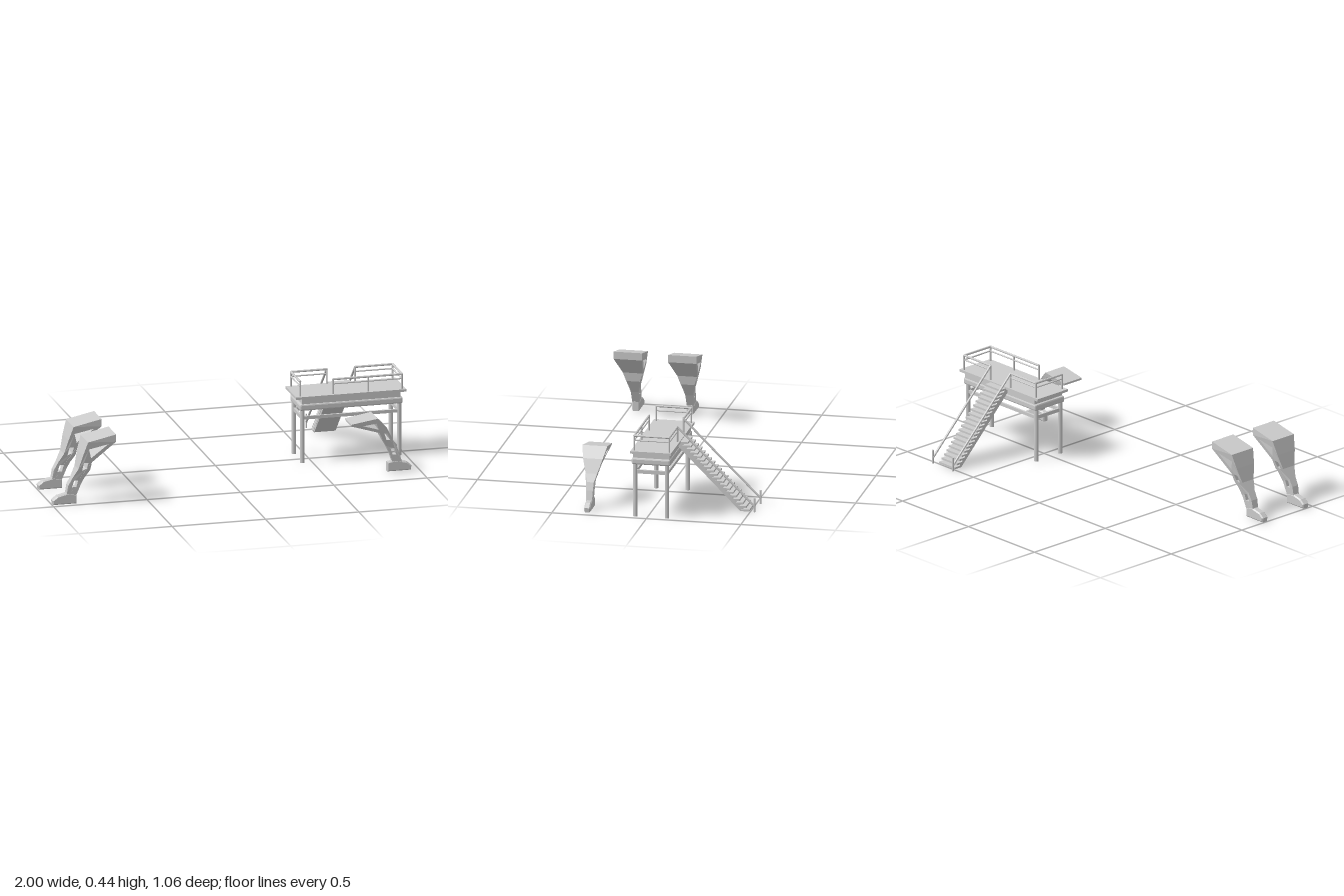
import * as THREE from 'three';
import { RoundedBoxGeometry } from 'three/addons/geometries/RoundedBoxGeometry.js';

const material = new THREE.MeshStandardMaterial({ color: 0xcccccc, flatShading: true });
const V = (x, y, z) => new THREE.Vector3(x, y, z);

function add(parent, name, geometry) {
  const mesh = new THREE.Mesh(geometry, material);
  mesh.name = name;
  parent.add(mesh);
  return mesh;
}

// Box given by its min and max on each axis
function box(parent, name, [x0, x1], [y0, y1], [z0, z1]) {
  const g = new THREE.BoxGeometry(x1 - x0, y1 - y0, z1 - z0);
  g.translate((x0 + x1) / 2, (y0 + y1) / 2, (z0 + z1) / 2);
  return add(parent, name, g);
}

// Round bar between two points
function bar(parent, name, a, b, r, sides = 8) {
  const mesh = add(parent, name, new THREE.CylinderGeometry(r, r, a.distanceTo(b), sides));
  mesh.position.copy(a).lerp(b, 0.5);
  mesh.quaternion.setFromUnitVectors(V(0, 1, 0), b.clone().sub(a).normalize());
  return mesh;
}

// Side profile with holes, extruded in z, its width set by height
function taperedExtrude(outline, holes, widths) {
  const toPoints = (list) => list.map(([x, y]) => new THREE.Vector2(x, y));
  const shape = new THREE.Shape(toPoints(outline));
  for (const h of holes) shape.holes.push(new THREE.Path(toPoints(h)));
  const g = new THREE.ExtrudeGeometry(shape, { depth: 1, bevelEnabled: false });
  const p = g.attributes.position;
  const widthAt = (y) => {
    for (let i = 0; i < widths.length - 1; i++) {
      const [y0, w0] = widths[i], [y1, w1] = widths[i + 1];
      if (y <= y1) return w0 + (w1 - w0) * Math.max(0, (y - y0) / (y1 - y0));
    }
    return widths[widths.length - 1][1];
  };
  for (let i = 0; i < p.count; i++) p.setZ(i, (p.getZ(i) - 0.5) * widthAt(p.getY(i)));
  g.computeVertexNormals();
  return g;
}

// Foot with its toe towards -x
function foot(width) {
  const shape = new THREE.Shape([
    [-0.99, 0.006], [-0.875, 0.006], [-0.875, 0.045], [-0.915, 0.053],
    [-0.97, 0.04], [-0.992, 0.022],
  ].map(([x, y]) => new THREE.Vector2(x, y)));
  const b = 0.006;
  const g = new THREE.ExtrudeGeometry(shape, {
    depth: width - 2 * b, bevelEnabled: true, bevelSize: b, bevelThickness: b, bevelSegments: 1,
  });
  g.translate(0, 0, b - width / 2);
  return g;
}

// Pair of tall struts
function tallStrut(z) {
  const group = new THREE.Group();
  group.name = 'tallStrut';
  const outline = [
    [-0.925, 0.045], [-0.872, 0.045], [-0.845, 0.11], [-0.828, 0.14], [-0.803, 0.18],
    [-0.797, 0.227], [-0.674, 0.335], [-0.674, 0.374], [-0.824, 0.342],
    [-0.847, 0.267], [-0.866, 0.19], [-0.893, 0.14], [-0.915, 0.1],
  ];
  const holes = [
    [[-0.817, 0.302], [-0.715, 0.324], [-0.803, 0.25]],
    [[-0.84, 0.225], [-0.815, 0.225], [-0.822, 0.19], [-0.846, 0.18]],
    [[-0.884, 0.125], [-0.862, 0.125], [-0.872, 0.09], [-0.896, 0.09]],
  ];
  const widths = [[0.06, 0.036], [0.14, 0.045], [0.227, 0.105], [0.335, 0.15]];
  add(group, 'strutBody', taperedExtrude(outline, holes, widths));
  add(group, 'strutFoot', foot(0.04));
  group.position.z = z;
  return group;
}

// Lower strut facing the other way
function lowStrut(z) {
  const group = new THREE.Group();
  group.name = 'lowStrut';
  const outline = [
    [0.86, 0.045], [0.91, 0.045], [0.893, 0.1], [0.877, 0.14], [0.853, 0.18],
    [0.817, 0.25], [0.765, 0.305], [0.625, 0.282], [0.625, 0.272],
    [0.782, 0.22], [0.803, 0.175], [0.823, 0.14], [0.842, 0.1],
  ];
  const holes = [
    [[0.69, 0.268], [0.76, 0.278], [0.777, 0.24]],
    [[0.808, 0.215], [0.822, 0.215], [0.842, 0.175], [0.822, 0.175]],
    [[0.847, 0.125], [0.868, 0.125], [0.878, 0.09], [0.858, 0.09]],
  ];
  const widths = [[0.06, 0.03], [0.14, 0.036], [0.285, 0.125], [0.305, 0.132]];
  add(group, 'strutBody', taperedExtrude(outline, holes, widths));
  const f = add(group, 'strutFoot', foot(0.033));
  f.rotation.y = Math.PI;
  f.position.x = -0.038;
  group.position.z = z;
  return group;
}

function platform() {
  const group = new THREE.Group();
  group.name = 'platform';
  // Deck and the body below it
  box(group, 'deck', [0.41, 1], [0.346, 0.359], [-0.13, 0.085]);
  box(group, 'upperBody', [0.445, 0.972], [0.31, 0.346], [-0.118, 0.075]);
  const lower = add(group, 'lowerBody', new RoundedBoxGeometry(0.55, 0.035, 0.205, 1, 0.008));
  lower.position.set(0.707, 0.3, -0.02);
  // Posts and cross beams
  const xs = [0.448, 0.966], zs = [-0.102, 0.065];
  for (const x of xs) for (const z of zs) {
    bar(group, 'leg', V(x, 0, z), V(x, 0.288, z), 0.0115, 16);
  }
  for (const z of zs) box(group, 'longBeam', xs, [0.233, 0.25], [z - 0.006, z + 0.006]);
  for (const x of xs) box(group, 'crossBeam', [x - 0.006, x + 0.006], [0.233, 0.252], zs);
  return group;
}

function railings() {
  const group = new THREE.Group();
  group.name = 'railings';
  const zb = -0.117, zf = 0.068, xl = 0.436, xr = 0.98;
  // Two open runs, with gaps for the stairs and at the front
  const runs = [
    [[0.628, zb], [xl, zb], [xl, zf]],
    [[0.78, zb], [xr, zb], [xr, zf], [0.8, zf], [0.612, zf]],
  ];
  for (const run of runs) {
    run.forEach(([x, z], i) => {
      bar(group, 'railPost', V(x, 0.355, z), V(x, 0.44, z), 0.005);
      if (i === 0) return;
      const [px, pz] = run[i - 1];
      bar(group, 'topRail', V(px, 0.438, pz), V(x, 0.438, z), 0.006);
      bar(group, 'midRail', V(px, 0.414, pz), V(x, 0.414, z), 0.004);
    });
  }
  return group;
}

function stairs() {
  const group = new THREE.Group();
  group.name = 'stairs';
  const x = [0.647, 0.765], count = 20;
  // Steps
  for (let i = 0; i < count; i++) {
    const t = i / (count - 1);
    const y = 0.349 - 0.344 * t, z = -0.125 - 0.325 * t;
    box(group, 'tread', x, [y - 0.005, y + 0.005], [z - 0.045, z]);
  }
  // Sloping slab under the steps, drawn in z and y
  const slab = new THREE.Shape([
    [0.12, 0.346], [0.12, 0.325], [0.445, 0], [0.47, 0], [0.135, 0.346],
  ].map(([z, y]) => new THREE.Vector2(z, y)));
  const g = new THREE.ExtrudeGeometry(slab, { depth: x[1] - x[0] - 0.004, bevelEnabled: false });
  g.rotateY(Math.PI / 2);
  g.translate(x[0] + 0.002, 0, 0);
  add(group, 'stringer', g);
  // Handrails and end posts
  for (const rx of [0.628, 0.78]) {
    bar(group, 'handrail', V(rx, 0.438, -0.117), V(rx, 0.035, -0.525), 0.006);
    bar(group, 'handrailPost', V(rx, 0.004, -0.525), V(rx, 0.078, -0.525), 0.005);
  }
  return group;
}

export function createModel() {
  const model = new THREE.Group();
  model.name = 'platformAndStruts';
  model.add(platform(), railings(), stairs());
  model.add(tallStrut(0.456), tallStrut(0.168), lowStrut(0.322));
  return model;
}
